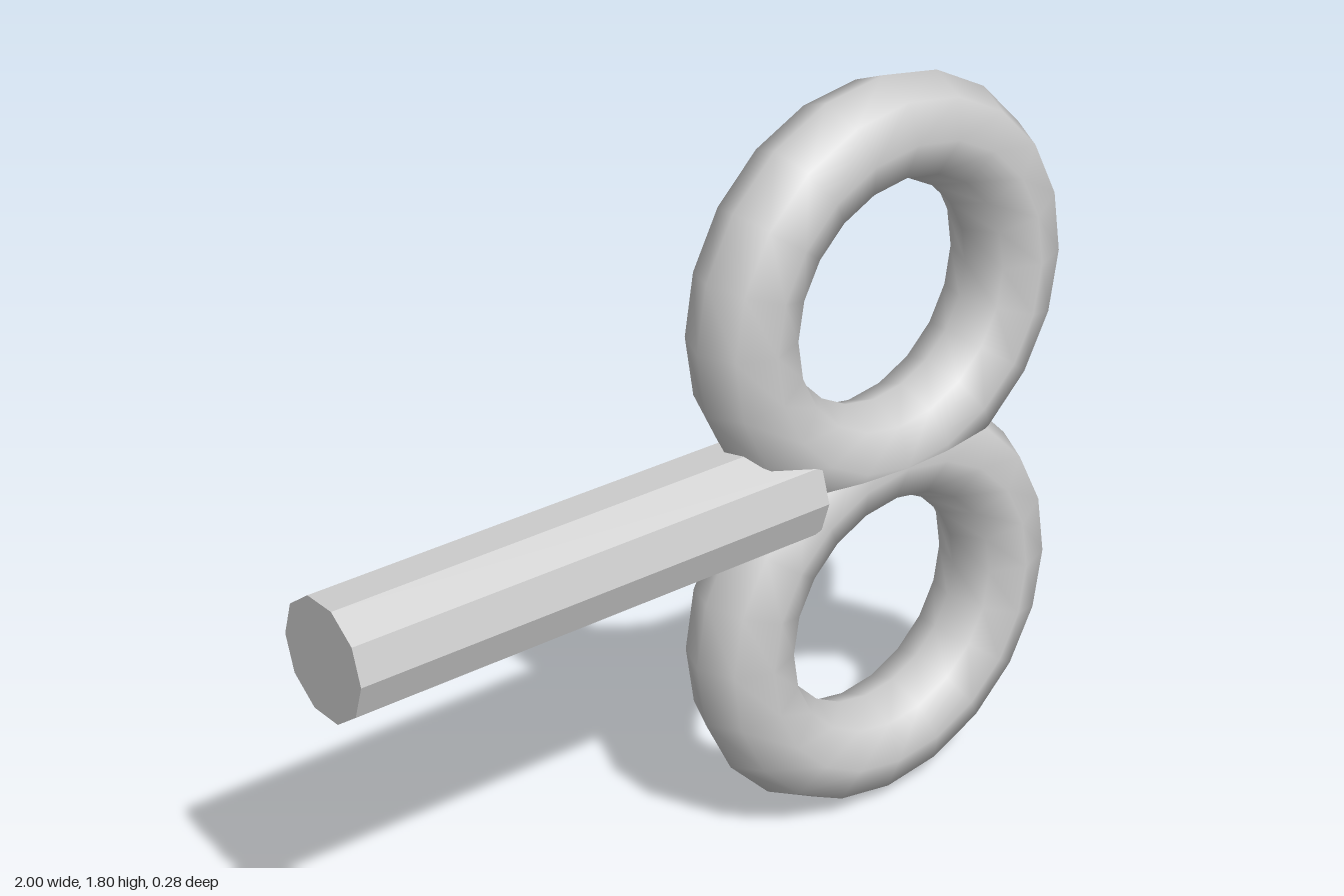
import * as THREE from 'three';

export function createModel() {
  const model = new THREE.Group();
  const grey = new THREE.MeshStandardMaterial({ color: 0xcccccc });
  grey.name = 'plain grey';
  const flatGrey = grey.clone();
  flatGrey.flatShading = true;

  const midY = 0.905, ringX = 0.485, ringRadius = 0.388, tubeRadius = 0.123;

  // Two smooth rings, meeting where their tubes share a centre line
  for (const [name, side] of [['upperRing', 1], ['lowerRing', -1]]) {
    const ring = new THREE.Mesh(new THREE.TorusGeometry(ringRadius, tubeRadius, 8, 20), grey);
    ring.name = name;
    ring.position.set(ringX, midY + side * 0.391, 0);
    model.add(ring);
  }

  // Ten-sided faceted rod running into the joint between the rings
  const rodStart = -1, rodEnd = 0.235;
  const rodGeometry = new THREE.CylinderGeometry(0.14, 0.14, rodEnd - rodStart, 10);
  rodGeometry.rotateZ(Math.PI / 2);
  const rod = new THREE.Mesh(rodGeometry, flatGrey);
  rod.name = 'rod';
  rod.position.set((rodStart + rodEnd) / 2, midY, 0);
  model.add(rod);

  return model;
}
